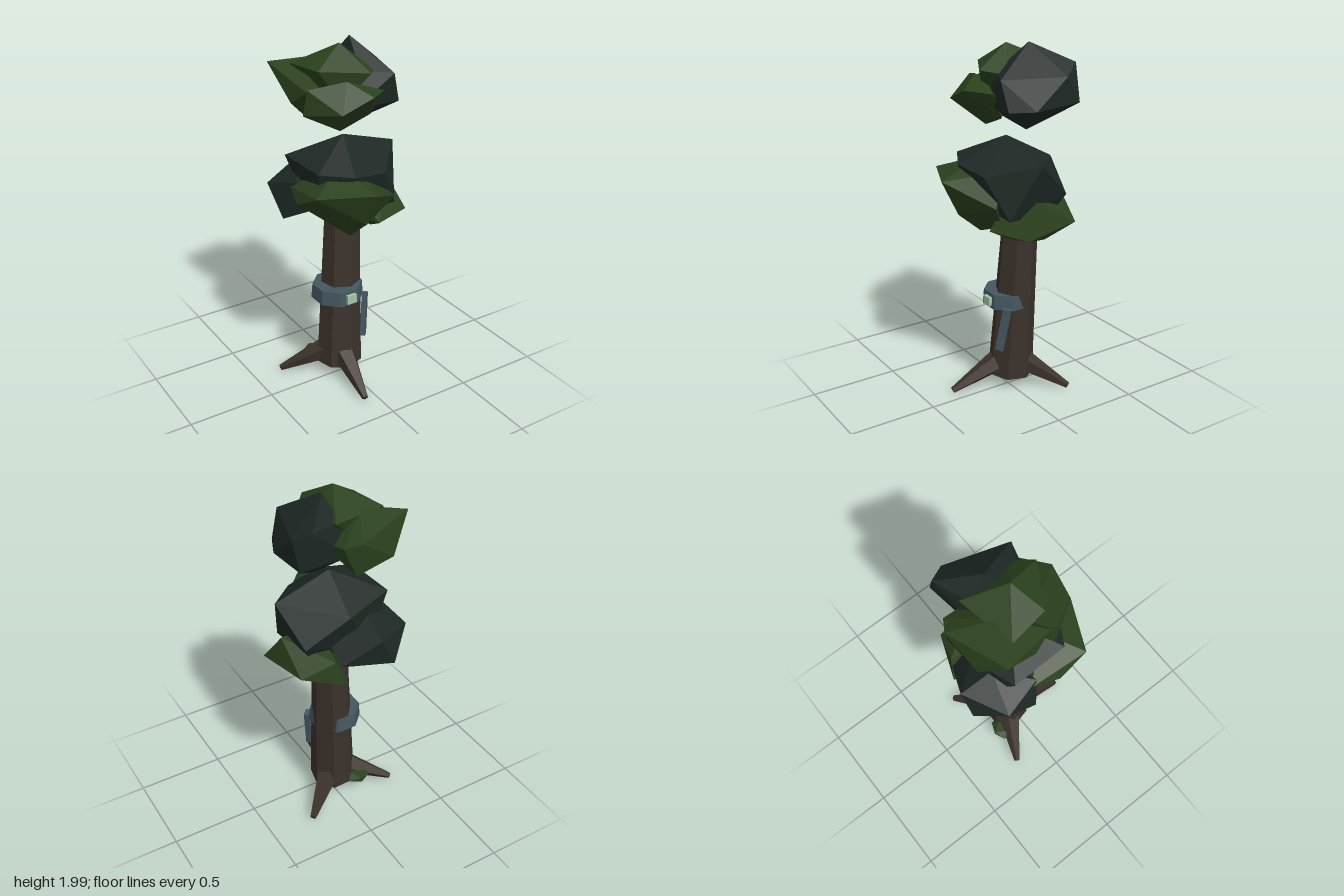
import * as THREE from 'three';
import { ConvexGeometry } from 'three/addons/geometries/ConvexGeometry.js';

const flat = (name, color) => {
  const m = new THREE.MeshStandardMaterial({ color, flatShading: true });
  m.name = name;
  return m;
};

export function createModel() {
  const tree = new THREE.Group();
  tree.name = 'tree';
  const bark = flat('bark', 0x3b312a);
  const leaf = flat('leafGreen', 0x2b411d);
  const darkLeaf = flat('darkLeaf', 0x1e2824);
  const steel = flat('steel', 0x455660);
  const lamp = flat('paleGreen', 0xa1c5a8);

  const add = (name, geometry, material) => {
    const mesh = new THREE.Mesh(geometry, material);
    mesh.name = name;
    tree.add(mesh);
    return mesh;
  };

  // Moves a y-aligned mesh so that it runs from a to b
  const UP = new THREE.Vector3(0, 1, 0);
  const align = (mesh, a, b) => {
    mesh.position.copy(a).add(b).multiplyScalar(0.5);
    mesh.quaternion.setFromUnitVectors(UP, b.clone().sub(a).normalize());
    return mesh;
  };
  const limb = (name, a, b, ra, rb, sides, material) =>
    align(add(name, new THREE.CylinderGeometry(rb, ra, a.distanceTo(b), sides), material), a, b);

  // Irregular faceted clump: the hull of a few corner points
  const clump = (name, material, corners) =>
    add(name, new ConvexGeometry(corners.map((c) => new THREE.Vector3(...c))), material);

  // Leaning trunk
  limb('trunk', new THREE.Vector3(-0.025, 0.077, -0.032), new THREE.Vector3(0.028, 1.2, -0.075),
    0.133, 0.095, 7, bark);

  // Three spreading roots
  const foot = new THREE.Vector3(-0.025, 0, -0.03);
  [[-0.075, 0.33], [0.245, -0.255], [-0.335, -0.19]].forEach(([x, z]) => {
    const tip = new THREE.Vector3(x, 0.024, z);
    const start = foot.clone().lerp(tip, 0.24);
    start.y = 0.148;
    limb('root', start, tip, 0.066, 0.018, 5, bark);
  });

  // Moss at the foot
  const moss = new THREE.IcosahedronGeometry(1, 0);
  moss.scale(0.08, 0.03, 0.08);
  add('moss', moss, leaf).position.set(-0.125, 0.1, -0.135);

  // Metal band with a small pale plate
  const band = new THREE.CylinderGeometry(0.143, 0.15, 0.085, 8);
  band.rotateY(Math.PI / 8);
  add('band', band, steel).position.set(-0.036, 0.556, -0.029);
  add('plate', new THREE.BoxGeometry(0.058, 0.052, 0.02), lamp).position.set(-0.031, 0.553, 0.115);

  // Slanted bar leaning on the trunk
  const barTop = new THREE.Vector3(0.093, 0.53, 0.064);
  const barEnd = new THREE.Vector3(0.06, 0.278, 0.098);
  const bar = new THREE.BoxGeometry(0.047, barTop.distanceTo(barEnd), 0.028);
  bar.rotateY(Math.PI / 4);
  align(add('bar', bar, steel), barEnd, barTop);

  // Lower foliage
  clump('lowerCrown', darkLeaf, [
    [-0.015, 1.5, 0], [-0.275, 1.38, -0.17], [-0.265, 1.375, 0.16], [0.315, 1.4, -0.01],
    [0.11, 1.325, 0.22], [-0.1, 1.355, 0.255], [0.02, 1.355, -0.27], [0.25, 1.2, -0.21],
    [0.23, 1.1, 0.14], [0.2, 1.1, -0.16], [-0.15, 1.1, -0.2], [-0.2, 1.1, 0.1], [0, 1.02, 0]]);
  clump('lowerBackClump', darkLeaf, [
    [-0.34, 1.2, -0.26], [-0.345, 1.055, -0.08], [-0.19, 1.07, -0.385], [-0.1, 1.24, -0.39],
    [0.09, 1.1, -0.31], [-0.12, 1.31, -0.2], [0.1, 1.22, -0.12], [-0.1, 1.02, -0.15],
    [-0.29, 1.27, -0.04]]);
  clump('lowerFrontClump', leaf, [
    [-0.05, 1.29, 0.385], [-0.335, 1.29, 0.255], [0.19, 1.17, 0.2], [-0.345, 1.2, 0.08],
    [-0.3, 1.24, -0.08], [-0.12, 1.375, 0.11], [-0.05, 1.09, 0.285], [-0.06, 0.97, 0.14],
    [-0.15, 1.04, 0.05], [0.06, 1.01, 0.08], [0.05, 1.32, 0.05]]);
  clump('lowerSideClump', leaf, [
    [0.34, 1.015, 0.095], [0.29, 1.185, -0.02], [0.1, 1.02, 0.185], [0.295, 1.05, -0.24],
    [0.12, 1.13, -0.295], [0.06, 0.98, -0.33], [0.155, 0.925, -0.14], [0.05, 1.18, 0.02],
    [0, 1.03, -0.08], [0.12, 0.96, 0.07]]);

  // Upper foliage
  clump('upperSideClump', darkLeaf, [
    [0.075, 2, -0.08], [0.235, 1.9, -0.265], [0.295, 1.84, -0.17], [0.295, 1.7, -0.25],
    [0.295, 1.68, 0.02], [0.235, 1.68, 0.15], [0.19, 1.84, 0.17], [0.1, 1.545, -0.05],
    [-0.03, 1.68, -0.2], [-0.03, 1.68, 0.14], [0.03, 1.88, -0.18], [0.03, 1.86, 0.09]]);
  clump('upperTopClump', leaf, [
    [-0.03, 1.99, -0.01], [-0.235, 1.88, -0.16], [0.08, 1.89, -0.225], [0.12, 1.85, 0.09],
    [0.03, 1.87, 0.195], [-0.2, 1.88, 0.06], [-0.15, 1.7, -0.12], [0.05, 1.7, -0.1],
    [-0.08, 1.7, 0.1]]);
  clump('upperFrontClump', leaf, [
    [-0.085, 1.835, 0.15], [-0.29, 1.665, 0.06], [-0.175, 1.7, 0.25], [0, 1.77, 0.27],
    [0.13, 1.76, 0.17], [-0.085, 1.555, 0.085], [-0.27, 1.8, 0.07], [0.09, 1.62, 0.1],
    [-0.1, 1.7, -0.08]]);
  clump('upperBackClump', leaf, [
    [-0.32, 1.88, -0.25], [0.015, 1.83, -0.36], [0.09, 1.8, -0.315], [-0.19, 1.69, -0.33],
    [0.03, 1.645, -0.335], [-0.29, 1.7, -0.06], [-0.26, 1.78, 0.05], [-0.13, 1.56, -0.18],
    [-0.1, 1.9, -0.15], [0.1, 1.75, -0.1]]);

  return tree;
}
